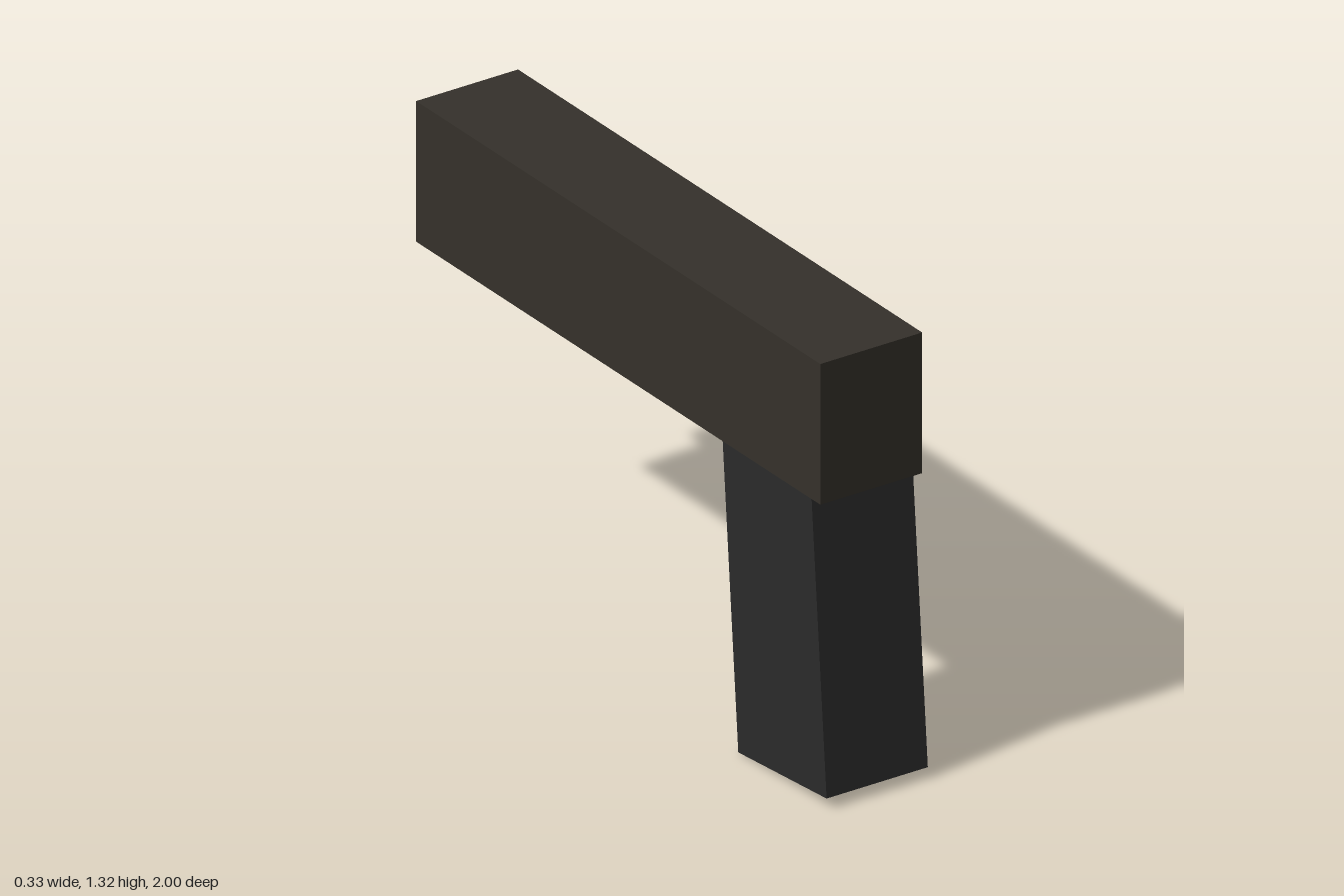
import * as THREE from 'three';

function box(name, size, position, color) {
  const mesh = new THREE.Mesh(
    new THREE.BoxGeometry(...size),
    new THREE.MeshStandardMaterial({ color })
  );
  mesh.name = name;
  mesh.position.set(...position);
  return mesh;
}

export function createModel() {
  const model = new THREE.Group();
  model.name = 'model';

  // Long upper body and the small muzzle at its back end
  model.add(box('body', [0.33, 0.42, 1.897], [0, 1.11, 0.0235], 0x35312b));
  model.add(box('muzzle', [0.14, 0.155, 0.1], [0, 1.1125, -0.95], 0x0c0c0c));

  // Grip, tilted about the middle of its base and running up into the body
  const grip = new THREE.Group();
  grip.name = 'grip';
  grip.position.set(0, 0.0172, 0.7925);
  grip.rotation.x = -0.081;
  const length = 1.0;
  grip.add(box('gripBlock', [0.328, length, 0.416], [0, length / 2, 0], 0x2b2b2b));
  model.add(grip);

  return model;
}
